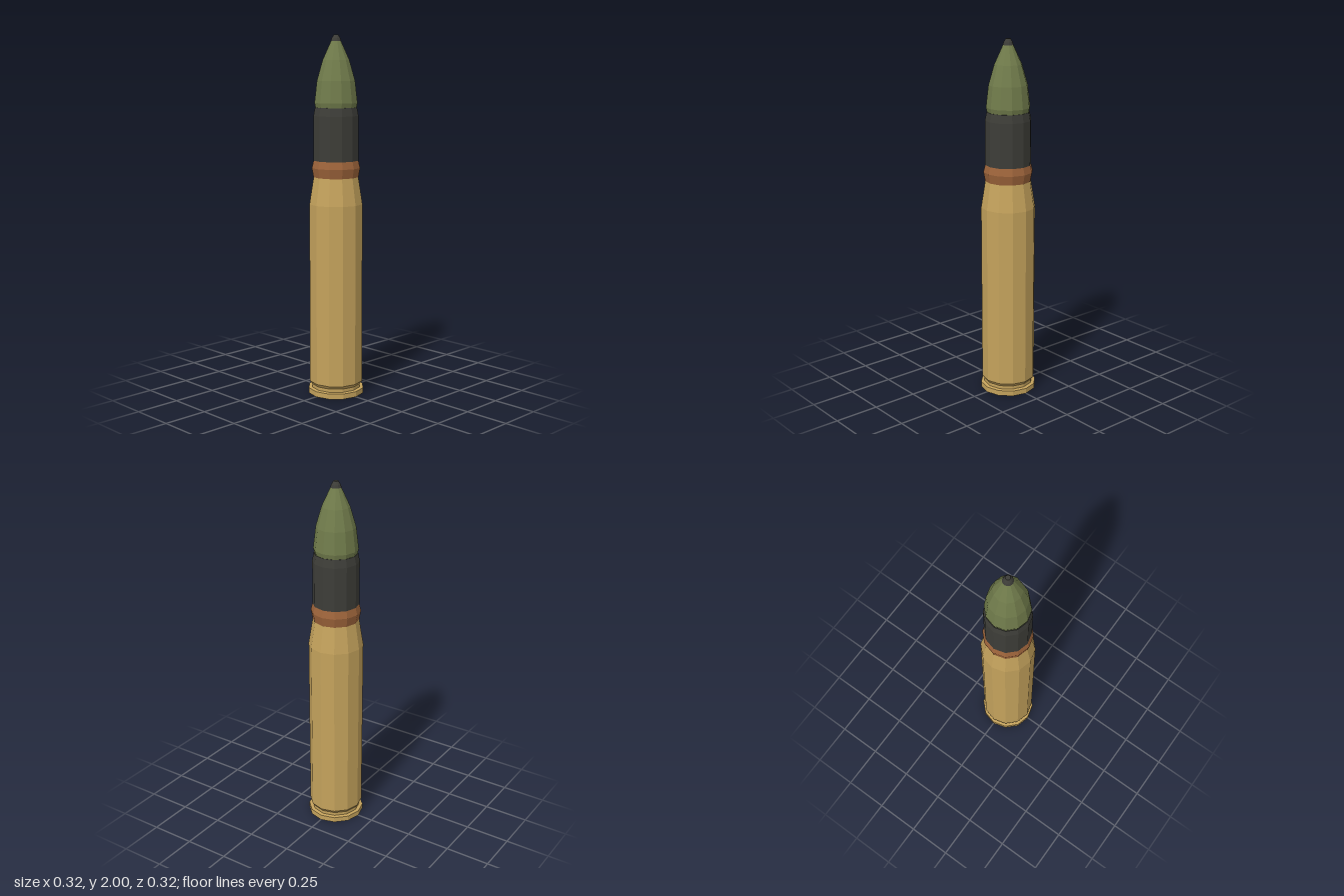
import * as THREE from 'three';

const SIDES = 12;

function material(name, color) {
  const m = new THREE.MeshStandardMaterial({ color, flatShading: true });
  m.name = name;
  return m;
}

// Turned part from [radius, height] pairs, listed bottom to top
function turned(name, mat, profile) {
  const points = profile.map(([r, y]) => new THREE.Vector2(r, y));
  const mesh = new THREE.Mesh(new THREE.LatheGeometry(points, SIDES), mat);
  mesh.name = name;
  return mesh;
}

export function createModel() {
  const brass = material('brass', 0xc4a25c);
  const copper = material('copper', 0x9c633a);
  const dark = material('dark steel', 0x3d3d38);
  const green = material('olive green', 0x707b4b);

  const model = new THREE.Group();
  model.name = 'cartridge';

  model.add(
    // Flat base, rim, extractor groove, long body and tapered shoulder
    turned('case', brass, [
      [0, 0], [0.158, 0], [0.158, 0.03], [0.138, 0.033], [0.138, 0.052],
      [0.151, 0.07], [0.151, 1.08], [0.127, 1.23], [0, 1.23],
    ]),
    // Bulging band above the case mouth
    turned('drivingBand', copper, [
      [0, 1.228], [0.127, 1.228], [0.137, 1.28], [0.127, 1.32], [0, 1.32],
    ]),
    // Straight collar with a narrowed top
    turned('collar', dark, [
      [0, 1.318], [0.127, 1.318], [0.127, 1.565], [0.118, 1.61], [0, 1.61],
    ]),
    // Curved nose with a small undercut
    turned('nose', green, [
      [0, 1.608], [0.115, 1.608], [0.121, 1.635], [0.107, 1.755],
      [0.075, 1.865], [0.028, 1.967], [0, 1.967],
    ]),
    // Blunt tip
    turned('tip', dark, [
      [0, 1.966], [0.029, 1.966], [0.024, 1.982], [0.013, 2], [0, 2],
    ]),
  );
  return model;
}
